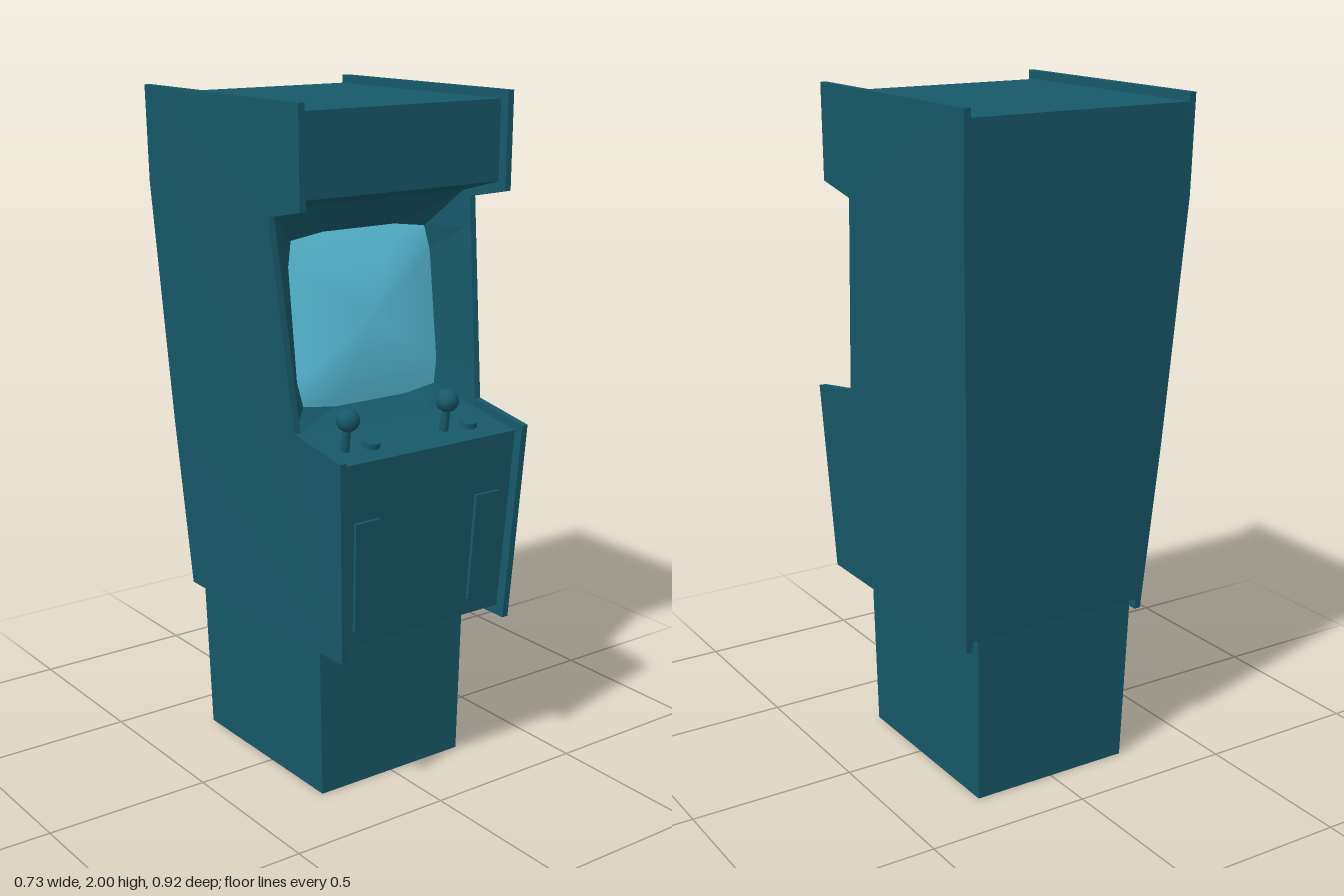
import * as THREE from 'three';

const teal = new THREE.MeshStandardMaterial({ color: 0x17596a });
const cyan = new THREE.MeshStandardMaterial({ color: 0x5cc5e0, side: THREE.DoubleSide });
const PANEL = 0.02;

// Outer half width of the cabinet: flares upward, then nearly straight
const halfWidth = y => y < 1.72 ? 0.303 + (y - 0.48) * 0.0476 : 0.362 + (y - 1.72) * 0.0107;
const innerWidth = y => halfWidth(y) - PANEL;

function add(parent, name, geometry, material = teal) {
  const mesh = new THREE.Mesh(geometry, material);
  mesh.name = name;
  parent.add(mesh);
  return mesh;
}

// Extrudes a (z, y) profile across x, between two x limits that depend on y
function slab(profile, lo, hi) {
  const shape = new THREE.Shape(profile.map(p => new THREE.Vector2(...p)));
  const geo = new THREE.ExtrudeGeometry(shape, { depth: 1, bevelEnabled: false });
  geo.rotateY(-Math.PI / 2);
  const pos = geo.attributes.position;
  for (let i = 0; i < pos.count; i++) {
    const y = pos.getY(i);
    pos.setX(i, pos.getX(i) < -0.5 ? lo(y) : hi(y));
  }
  geo.computeVertexNormals();
  return geo;
}

// Joins rings of equal point count, listed from outside to inside
function loft(rings, flat) {
  const n = rings[0].length, index = [];
  for (let r = 0; r < rings.length - 1; r++) {
    for (let i = 0; i < n; i++) {
      const j = (i + 1) % n, a = r * n, b = a + n;
      index.push(a + i, a + j, b + j, a + i, b + j, b + i);
    }
  }
  let geo = new THREE.BufferGeometry();
  geo.setAttribute('position', new THREE.Float32BufferAttribute(rings.flat(2), 3));
  geo.setIndex(index);
  if (flat) geo = geo.toNonIndexed();
  geo.computeVertexNormals();
  return geo;
}

export function createModel() {
  const model = new THREE.Group();
  model.name = 'arcadeCabinet';

  // Side panels
  const back = [[-0.355, 0.48], [-0.4, 1.0], [-0.447, 1.72], [-0.455, 2]];
  const side = [[0.325, 2], [0.325, 1.72], [0.175, 1.69], [0.25, 1.105], [0.46, 1.07], [0.43, 0.48], ...back];
  add(model, 'leftSidePanel', slab(side, innerWidth, halfWidth));
  add(model, 'rightSidePanel', slab(side, y => -halfWidth(y), y => -innerWidth(y)));

  // Body between the panels, hollowed behind the screen
  const body = [
    [0.295, 1.975], [0.295, 1.745], [0.145, 1.705], [0.02, 1.705], [0.02, 1.085],
    [0.22, 1.085], [0.43, 1.05], [0.4, 0.51],
    [-0.357, 0.51], [-0.4, 1.0], [-0.447, 1.72], [-0.454, 1.975],
  ];
  add(model, 'body', slab(body, y => -innerWidth(y), innerWidth));

  // Base
  const base = [[0.265, 0], [0.268, 0.51], [-0.354, 0.51], [-0.337, 0]];
  const baseWidth = y => 0.253 + y * 0.022;
  add(model, 'base', slab(base, y => -baseWidth(y), baseWidth));

  // Screen outline: one quadrant mirrored all round, counter-clockwise
  const quarter = [[1, 0.65], [0.94, 0.94], [0.5, 1]];
  const flip = (sx, sy) => quarter.map(([u, v]) => [u * sx, v * sy]);
  const outline = [...flip(1, 1), ...flip(-1, 1).reverse(), ...flip(-1, -1), ...flip(1, -1).reverse()];
  const faceZ = y => 0.22 - (y - 1.085) * 0.121;

  // Sloping bezel from the opening to the screen edge
  const opening = outline.map(([u, v]) => {
    const m = Math.max(Math.abs(u), Math.abs(v));
    const y = 1.395 + (v / m) * 0.31;
    return [(u / m) * innerWidth(y), y, faceZ(y)];
  });
  const screenRing = s => outline.map(([u, v]) => {
    const y = 1.375 + v * s * 0.245;
    return [u * s * 0.25, y, faceZ(y) - 0.06 + 0.035 * (1 - s * s)];
  });
  add(model, 'screenBezel', loft([opening, screenRing(1)], true));

  // Bulging screen
  add(model, 'screen', loft([1, 0.85, 0.65, 0.4, 0.2, 0].map(screenRing), false), cyan);

  // Coin plates, following the slope of the front and the taper of the sides
  const frontZ = y => 0.4 + (y - 0.51) * 0.0556;
  const plate = [[frontZ(0.56) - 0.01, 0.56], [frontZ(0.56) + 0.01, 0.56],
    [frontZ(0.88) + 0.01, 0.88], [frontZ(0.88) - 0.01, 0.88]];
  const near = y => 0.162 + (y - 0.56) * 0.03;
  const far = y => 0.247 + (y - 0.56) * 0.03;
  add(model, 'leftCoinPlate', slab(plate, near, far));
  add(model, 'rightCoinPlate', slab(plate, y => -far(y), y => -near(y)));

  // Joystick and button for each player, square to the control panel
  const tilt = Math.atan2(0.035, 0.21);
  [-0.233, 0.115].forEach((x, i) => {
    const controls = new THREE.Group();
    controls.name = 'playerControls' + (i + 1);
    controls.position.set(x, 1.063, 0.345);
    controls.rotation.x = tilt;
    const stick = new THREE.CylinderGeometry(0.011, 0.014, 0.09, 10);
    add(controls, 'stick', stick).position.y = 0.035;
    add(controls, 'knob', new THREE.SphereGeometry(0.033, 16, 12)).position.y = 0.092;
    const button = add(controls, 'button', new THREE.CylinderGeometry(0.025, 0.026, 0.024, 10));
    button.position.set(0.086, 0.005, 0.006);
    model.add(controls);
  });

  return model;
}
